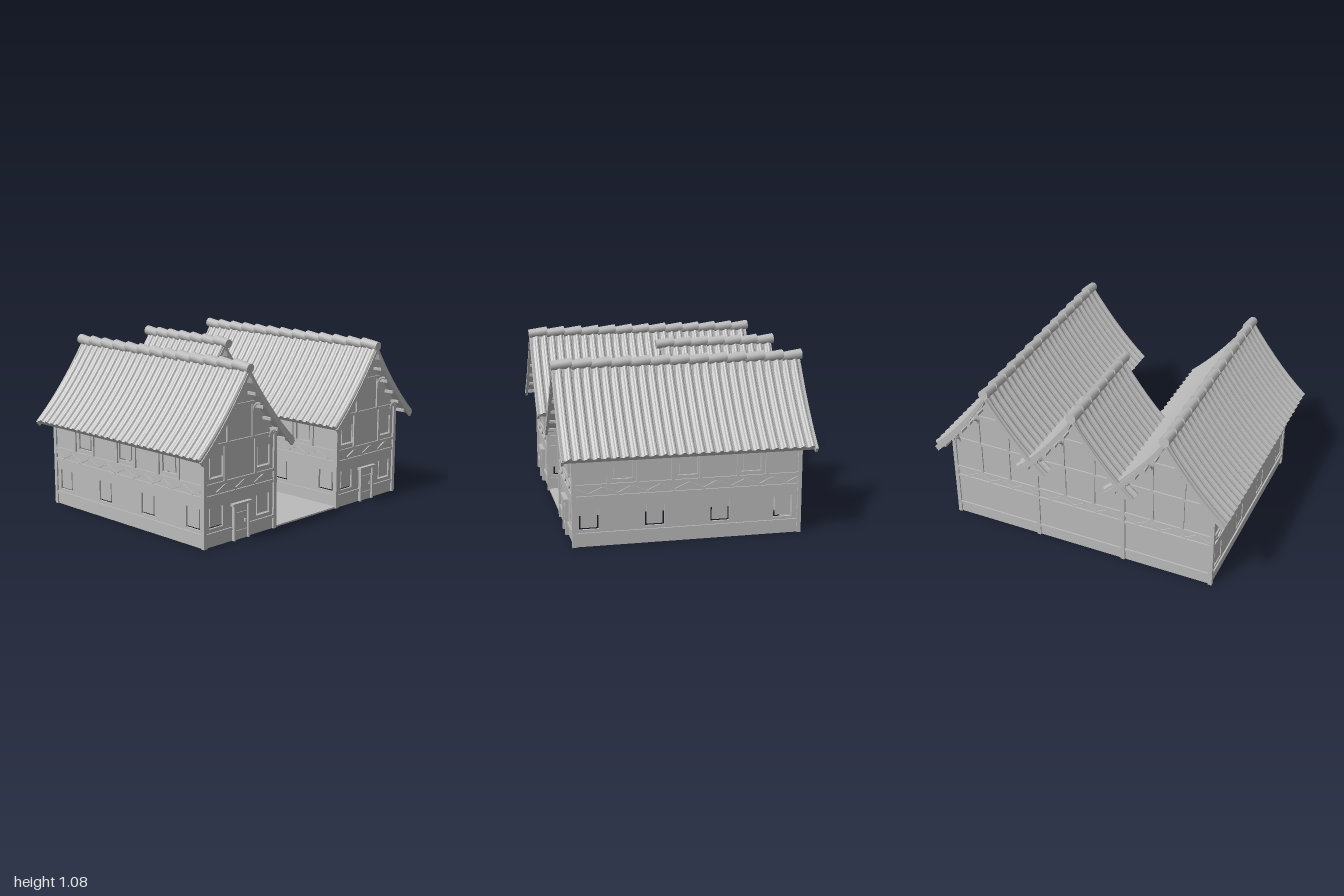
import * as THREE from 'three';

const grey = new THREE.MeshStandardMaterial({ color: 0xbababa, side: THREE.DoubleSide });
grey.name = 'plain grey';

const WING = 0.595, HALF = 0.3, EAVE = 0.405;
const roofY = d => 1.045 - 1.5 * d + 0.75 * d * d; // sagging roof line, d = distance from ridge

function add(parent, name, geo, x = 0, y = 0, z = 0) {
  const m = new THREE.Mesh(geo, grey);
  m.name = name;
  m.position.set(x, y, z);
  parent.add(m);
  return m;
}
const box = (p, name, w, h, d, x, y, z) => add(p, name, new THREE.BoxGeometry(w, h, d), x, y, z);

// Straight timber on a wall face, from (u1,v1) to (u2,v2)
function timber(p, u1, v1, u2, v2, w = 0.018, depth = 0.02) {
  const m = box(p, 'timber', Math.hypot(u2 - u1, v2 - v1), w, depth, (u1 + u2) / 2, (v1 + v2) / 2, 0);
  m.rotation.z = Math.atan2(v2 - v1, u2 - u1);
}

// Zigzag braces in the band between the storeys
function zigzag(p, u1, u2) {
  const n = Math.max(2, Math.round((u2 - u1) / 0.085)), s = (u2 - u1) / n;
  for (let i = 0; i < n; i++) {
    const up = i % 2;
    timber(p, u1 + i * s, up ? 0.318 : 0.358, u1 + (i + 1) * s, up ? 0.358 : 0.318, 0.014, 0.016);
  }
}

// Flat wall from an outline, with open windows and a loose pane in each
function wallPanel(p, pts, windows) {
  const shape = new THREE.Shape(pts.map(q => new THREE.Vector2(...q)));
  for (const [u, v, w, h] of windows) {
    shape.holes.push(new THREE.Path([[u - w / 2, v], [u - w / 2, v + h], [u + w / 2, v + h], [u + w / 2, v]]
      .map(q => new THREE.Vector2(...q))));
    box(p, 'windowPane', w - 0.022, h - 0.01, 0.008, u, v + h / 2 + 0.006, -0.006);
  }
  add(p, 'wall', new THREE.ExtrudeGeometry(shape, { depth: 0.015, bevelEnabled: false }), 0, 0, -0.015);
}

// Long wall under the eaves; s = +1 faces +x, -1 faces -x
function sideWall(parent, x, s) {
  const g = new THREE.Group();
  g.name = 'sideWall';
  const L = 0.695;
  const windows = [
    ...[0.606, 0.21, -0.19, -0.585].map(z => [-s * z, 0.105, 0.118, 0.13]),
    ...[0.405, 0.01, -0.383].map(z => [-s * z, 0.405, 0.122, 0.13])];
  wallPanel(g, [[-L, 0], [L, 0], [L, 0.6], [-L, 0.6]], windows);
  for (const v of [0.078, 0.303, 0.373, 0.594]) timber(g, -L, v, L, v);
  for (const z of [0.49, 0.313, 0.1, -0.07, -0.3, -0.48]) timber(g, -s * z, 0.375, -s * z, 0.6);
  zigzag(g, -L, L);
  g.position.x = x;
  g.rotation.y = s * Math.PI / 2;
  parent.add(g);
}

// Gable end wall with its framing; kind = 'wing', 'hall' or 'back'
function gableWall(parent, x, z, kind) {
  const g = new THREE.Group();
  g.name = 'gableWall';
  const pts = [[-HALF, 0], [HALF, 0]];
  for (let i = 8; i >= -8; i--) {
    const d = Math.abs(i) / 8 * HALF;
    pts.push([i / 8 * HALF, roofY(d) - 0.045]);
  }
  const windows = [];
  if (kind === 'wing') for (const u of [-0.198, 0.198])
    windows.push([u, 0.11, 0.115, 0.125], [u, 0.41, 0.115, 0.125]);
  if (kind === 'hall') windows.push([0, 0.415, 0.12, 0.12]);
  wallPanel(g, pts, windows);

  // Horizontal and upright timbers
  for (const v of [0.303, 0.373, 0.602]) timber(g, -HALF, v, HALF, v);
  if (kind === 'wing') { timber(g, -HALF, 0.078, -0.07, 0.078); timber(g, 0.07, 0.078, HALF, 0.078); }
  else timber(g, -HALF, 0.078, HALF, 0.078);
  zigzag(g, -0.28, 0.28);
  const post = kind === 'back' ? 0.1 : 0.128;
  for (const s of [-1, 1]) {
    timber(g, s * post, 0.375, s * post, 0.6);
    timber(g, s * 0.105, 0.6, s * 0.105, 0.82);
    timber(g, s * 0.02, 0.97, s * 0.27, 0.635, 0.016);
    // Purlin ends and curved brackets carrying the overhang
    for (const d of [0.07, 0.135, 0.2, 0.265, 0.33])
      box(g, 'purlinEnd', 0.018, 0.018, 0.065, s * d, roofY(d) - 0.068, 0.032);
    for (const d of [0.105, 0.25]) {
      const arc = add(g, 'bracket', new THREE.TorusGeometry(0.055, 0.008, 4, 6, Math.PI / 2), s * d, roofY(d) - 0.135, 0.06);
      arc.rotation.y = Math.PI / 2;
    }
  }
  timber(g, -0.14, 0.815, 0.14, 0.815);

  // Door with frame, lintel, planks and latch
  if (kind === 'wing') {
    box(g, 'door', 0.11, 0.21, 0.008, 0, 0.105, 0.004);
    for (const s of [-1, 1]) box(g, 'doorPost', 0.014, 0.22, 0.026, s * 0.06, 0.11, 0.008);
    box(g, 'doorLintel', 0.16, 0.016, 0.036, 0, 0.222, 0.01);
    for (const v of [0.05, 0.16]) box(g, 'doorBatten', 0.09, 0.016, 0.006, 0, v, 0.011);
    box(g, 'doorLatch', 0.012, 0.02, 0.012, 0.035, 0.11, 0.012);
  }
  g.position.set(x, 0, z);
  if (kind === 'back') g.rotation.y = Math.PI;
  parent.add(g);
}

// One slope of ribbed tiles, lofted along z and centred on z = 0
function tileSlope(length, rows) {
  const N = 8, ribF = [0, 0.1, 0.25, 0.4, 0.5, 0.75], ribH = [0, 0.75, 1, 0.75, 0, -0.35];
  const pos = [], idx = [], rings = rows * ribF.length + 1;
  for (let k = 0; k < rings; k++) {
    const j = k % ribF.length, z = ((Math.floor(k / ribF.length) + ribF[j]) / rows - 0.5) * length;
    for (let i = 0; i < 2 * N; i++) {
      const top = i < N, d = (top ? i : 2 * N - 1 - i) / (N - 1) * EAVE;
      const slope = -1.5 + 1.5 * d, l = Math.hypot(1, slope), off = top ? ribH[j] * 0.013 : -0.03;
      pos.push(Math.max(0, d - slope / l * off - 0.005), roofY(d) + off / l, z);
    }
  }
  for (let k = 0; k < rings - 1; k++) for (let i = 0; i < 2 * N; i++) {
    const a = k * 2 * N + i, b = k * 2 * N + (i + 1) % (2 * N), c = b + 2 * N, d = a + 2 * N;
    idx.push(a, d, c, a, c, b);
  }
  for (const k of [0, rings - 1]) for (let i = 0; i < N - 1; i++) {
    const o = k * 2 * N, t = o + i, u = t + 1, b = o + 2 * N - 1 - i, c = b - 1;
    if (k) idx.push(t, b, c, t, c, u); else idx.push(t, c, b, t, u, c);
  }
  const geo = new THREE.BufferGeometry();
  geo.setAttribute('position', new THREE.Float32BufferAttribute(pos, 3));
  geo.setIndex(idx);
  const flat = geo.toNonIndexed();
  flat.computeVertexNormals();
  return flat;
}

// Board that follows the roof edge on both slopes
function bargeBoard() {
  const top = [], low = [];
  for (let i = -10; i <= 10; i++) {
    const t = i / 10, d = Math.abs(t) * EAVE;
    top.push(new THREE.Vector2(t * 0.395, roofY(d) - 0.012));
    low.unshift(new THREE.Vector2(t * 0.373, roofY(d) - 0.04));
  }
  return new THREE.ExtrudeGeometry(new THREE.Shape([...top, ...low]), { depth: 0.016, bevelEnabled: false });
}

function roof(parent, x, z0, z1, rows, ridge0, ridge1, caps) {
  const g = new THREE.Group();
  g.name = 'roof';
  const geo = tileSlope(z1 - z0, rows);
  for (const r of [0, Math.PI]) add(g, 'roofTiles', geo, 0, 0, (z0 + z1) / 2).rotation.y = r;
  add(g, 'bargeBoardFront', bargeBoard(), 0, 0, z1 - 0.01);
  add(g, 'bargeBoardBack', bargeBoard(), 0, 0, -0.77);
  // Overlapping ridge tiles, each tipped up towards the back
  const step = (ridge1 - ridge0) / caps;
  const cap = new THREE.CylinderGeometry(0.03, 0.033, step * 1.06, 12);
  for (let i = 0; i < caps; i++)
    add(g, 'ridgeTile', cap, 0, 1.043, ridge0 + (i + 0.5) * step).rotation.x = Math.PI / 2 + 0.12;
  g.position.x = x;
  parent.add(g);
}

export function createModel() {
  const model = new THREE.Group();
  model.name = 'courtyardHouse';

  // Two long wings
  for (const s of [-1, 1]) {
    sideWall(model, s * 0.893, s);
    sideWall(model, s * 0.298, -s);
    gableWall(model, s * WING, 0.695, 'wing');
    gableWall(model, s * WING, -0.69, 'back');
    roof(model, s * WING, -0.745, 0.77, 27, -0.775, 0.775, 13);
    for (const x of [0.89, 0.298]) for (const z of [-0.688, 0.695])
      box(model, 'cornerPost', 0.025, 0.6, 0.025, s * x, 0.3, z);
    box(model, 'hallCornerPost', 0.025, 0.6, 0.025, s * 0.285, 0.3, -0.085);
  }

  // Middle hall at the back of the court
  gableWall(model, 0, -0.09, 'hall');
  gableWall(model, 0, -0.69, 'back');
  roof(model, 0, -0.76, -0.025, 13, -0.78, 0.01, 7);

  // Court floor, raised stage, back panel and canopy
  box(model, 'courtFloor', 0.59, 0.01, 0.785, 0, 0.005, 0.303);
  box(model, 'stage', 0.51, 0.1, 0.23, 0, 0.06, 0.025);
  box(model, 'stageBackPanel', 0.49, 0.29, 0.008, 0, 0.255, -0.076);
  box(model, 'canopy', 0.51, 0.014, 0.23, 0, 0.407, 0.025);
  return model;
}
